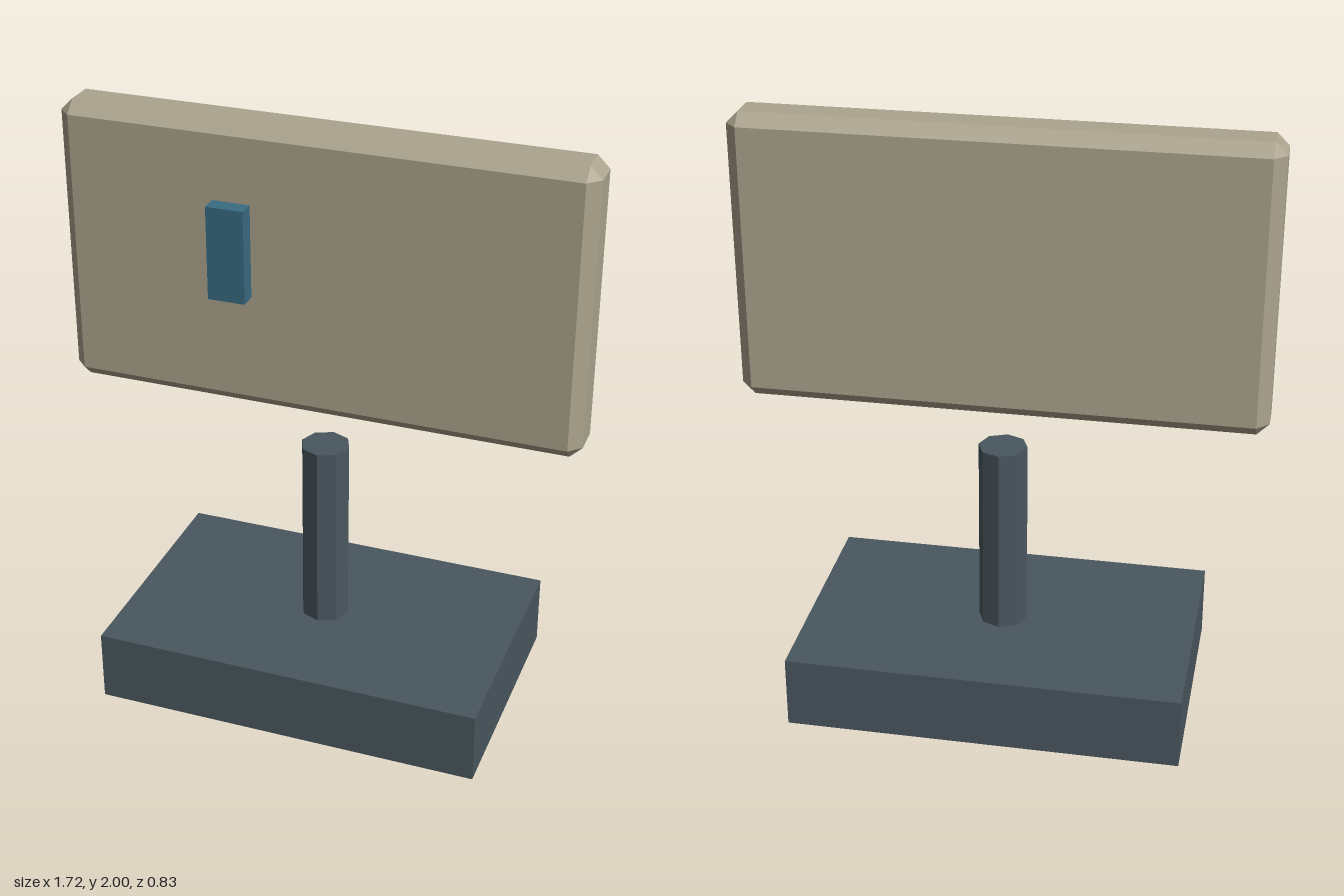
import * as THREE from 'three';
import { ConvexGeometry } from 'three/addons/geometries/ConvexGeometry.js';

const DARK = 0x4a575f, BEIGE = 0xaca48e, BLUE = 0x3a6b82;

// Box with every edge cut at 45 degrees and triangular corners
function chamferedBox(w, h, d, c) {
  const points = [];
  for (const x of [-w / 2, w / 2])
    for (const y of [-h / 2, h / 2])
      for (const z of [-d / 2, d / 2]) {
        const ix = x - Math.sign(x) * c, iy = y - Math.sign(y) * c, iz = z - Math.sign(z) * c;
        points.push(
          new THREE.Vector3(x, iy, iz),
          new THREE.Vector3(ix, y, iz),
          new THREE.Vector3(ix, iy, z)
        );
      }
  return new ConvexGeometry(points);
}

export function createModel() {
  const model = new THREE.Group();
  model.name = 'displayStand';

  const add = (name, geometry, color, x, y, z) => {
    const mesh = new THREE.Mesh(geometry, new THREE.MeshStandardMaterial({ color, flatShading: true }));
    mesh.name = name;
    mesh.position.set(x, y, z);
    model.add(mesh);
  };

  // Base block and octagonal post
  add('base', new THREE.BoxGeometry(1.31, 0.245, 0.83), DARK, 0, 0.1225, 0);
  add('post', new THREE.CylinderGeometry(0.082, 0.082, 0.652, 8), DARK, 0, 0.571, 0);

  // Bevelled panel floating above the post
  add('panel', chamferedBox(1.722, 0.962, 0.174, 0.04), BEIGE, 0, 1.519, 0);

  // Small block on the panel's front
  add('frontBlock', new THREE.BoxGeometry(0.124, 0.312, 0.057), BLUE, -0.278, 1.588, 0.1155);

  return model;
}
